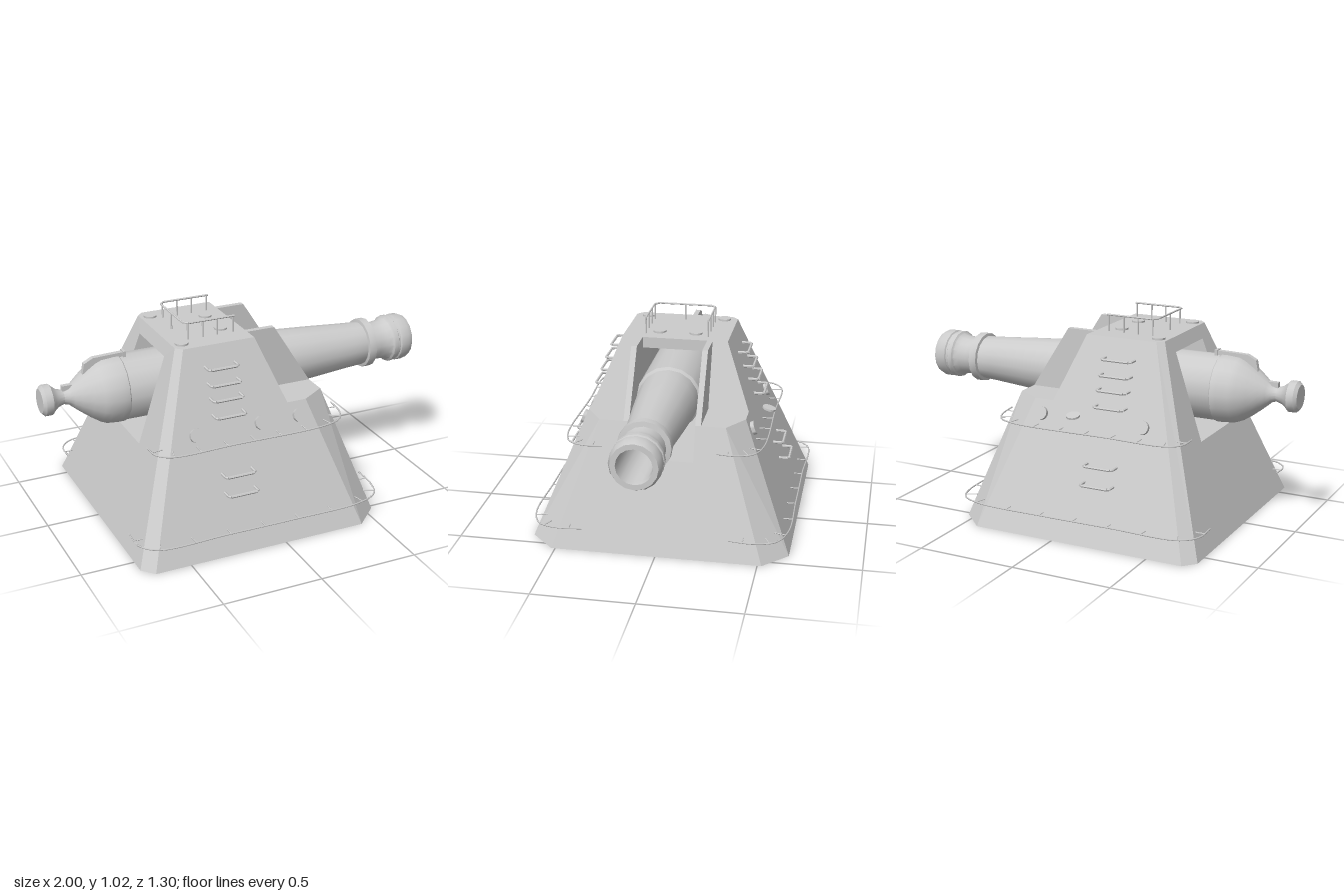
import * as THREE from 'three';
import { toCreasedNormals } from 'three/addons/utils/BufferGeometryUtils.js';

const mat = new THREE.MeshStandardMaterial({ color: 0xcccccc });
const flat = new THREE.MeshStandardMaterial({ color: 0xcccccc, flatShading: true, side: THREE.DoubleSide });
const V = (x, y, z) => new THREE.Vector3(x, y, z);

// Sloping planes of the casemate
const sideZ = y => 0.64 - 0.4 * y;
const rearX = y => -0.735 + 0.358 * y;
const frontX = y => 0.545 - 0.323 * y;
const TOP = 0.935, LEDGE = 0.62, FLOOR = 0.45, SLOT = 0.162;

function add(parent, name, geometry, material = mat) {
  const mesh = new THREE.Mesh(geometry, material);
  mesh.name = name;
  parent.add(mesh);
  return mesh;
}

// Round bar or disc between two points
function rod(parent, name, a, b, r, sides = 6) {
  const dir = b.clone().sub(a);
  const geo = toCreasedNormals(new THREE.CylinderGeometry(r, r, dir.length(), sides), 1.1);
  const mesh = add(parent, name, geo);
  mesh.position.copy(a).add(b).multiplyScalar(0.5);
  mesh.quaternion.setFromUnitVectors(V(0, 1, 0), dir.normalize());
  return mesh;
}

// Flat panels, each a fan of corners on the +z half, mirrored to the -z half
function mirroredPanels(parent, name, panels) {
  const pos = [];
  for (const s of [1, -1]) {
    for (const p of panels) {
      for (let i = 1; i < p.length - 1; i++) {
        const tri = s > 0 ? [p[0], p[i], p[i + 1]] : [p[0], p[i + 1], p[i]];
        tri.forEach(([x, y, z]) => pos.push(x, y, z * s));
      }
    }
  }
  const geo = new THREE.BufferGeometry();
  geo.setAttribute('position', new THREE.Float32BufferAttribute(pos, 3));
  geo.computeVertexNormals();
  add(parent, name, geo, flat);
}

function buildCasemate(parent) {
  const fx = frontX(LEDGE), lz = sideZ(LEDGE), tz = sideZ(TOP);
  const fl = frontX(FLOOR), rl = rearX(FLOOR), ru = rearX(0.87);
  mirroredPanels(parent, 'casemateShell', [
    // side wall
    [[0.12, LEDGE, lz], [0, TOP, tz], [-0.37, TOP, tz], [-0.68, 0, 0.64], [0.42, 0, 0.64], [0.22, LEDGE, lz]],
    // rear and front corner chamfers
    [[-0.735, 0, 0.58], [-0.68, 0, 0.64], [-0.37, TOP, tz], [-0.4, TOP, 0.236]],
    [[0.42, 0, 0.64], [0.545, 0, 0.52], [fx, LEDGE, 0.31], [0.22, LEDGE, lz]],
    // front wall beside and below the slot
    [[fl, FLOOR, SLOT], [fx, LEDGE, SLOT], [fx, LEDGE, 0.31], [0.545, 0, 0.52], [0.545, 0, 0], [fl, FLOOR, 0]],
    // ledge and upper front slope
    [[0.12, LEDGE, lz], [0.22, LEDGE, lz], [fx, LEDGE, 0.31], [fx, LEDGE, SLOT], [0.12, LEDGE, SLOT]],
    [[0, TOP, tz], [0.12, LEDGE, lz], [0.12, LEDGE, SLOT], [0, TOP, SLOT]],
    // roof
    [[-0.4, TOP, 0], [-0.4, TOP, 0.236], [-0.37, TOP, tz], [0, TOP, tz], [0, TOP, 0]],
    // rear wall around its opening
    [[rl, FLOOR, 0.185], [rl, FLOOR, 0], [-0.735, 0, 0], [-0.735, 0, 0.58], [-0.4, TOP, 0.236], [ru, 0.87, 0.16]],
    [[ru, 0.87, 0.16], [-0.4, TOP, 0.236], [-0.4, TOP, 0], [ru, 0.87, 0]],
  ]);
  mirroredPanels(parent, 'gunTunnel', [
    [[rl, FLOOR, 0], [rl, FLOOR, 0.185], [fl, FLOOR, SLOT], [fl, FLOOR, 0]],
    [[0.12, LEDGE, SLOT], [fx, LEDGE, SLOT], [fl, FLOOR, SLOT], [rl, FLOOR, 0.185],
      [ru, 0.87, 0.16], [0, 0.88, SLOT], [0, TOP, SLOT]],
    [[ru, 0.87, 0], [0, 0.88, 0], [0, 0.88, SLOT], [ru, 0.87, 0.16]],
    [[0, 0.88, SLOT], [0, 0.88, 0], [0, TOP, 0], [0, TOP, SLOT]],
  ]);

  // Cheek plates either side of the barrel
  const cheek = new THREE.Shape([[0, TOP], [0.12, LEDGE], [fx, LEDGE], [0.145, TOP]].map(p => new THREE.Vector2(...p)));
  for (const z of [SLOT, -SLOT - 0.028]) {
    add(parent, 'cheekPlate', new THREE.ExtrudeGeometry(cheek, { depth: 0.028, bevelEnabled: false }), flat).position.z = z;
  }
}

function buildCannon(parent) {
  const cannon = new THREE.Group();
  cannon.name = 'cannon';
  cannon.position.y = 0.68;
  parent.add(cannon);
  // Radius and station along the bore, from the knob to the muzzle and back inside
  const profile = [
    [0, -1], [0.06, -1], [0.076, -0.985], [0.076, -0.95], [0.06, -0.935], [0.045, -0.915], [0.035, -0.885],
    [0.042, -0.86], [0.06, -0.84], [0.085, -0.81], [0.12, -0.765], [0.15, -0.72], [0.163, -0.69], [0.168, -0.63],
    [0.168, -0.6], [0.163, -0.595], [0.163, 0.155], [0.15, 0.165], [0.147, 0.25], [0.133, 0.45], [0.117, 0.65],
    [0.112, 0.735], [0.127, 0.738], [0.127, 0.778], [0.103, 0.782], [0.098, 0.82], [0.102, 0.86], [0.112, 0.885],
    [0.122, 0.892], [0.122, 0.915], [0.115, 0.92], [0.115, 0.93], [0.122, 0.935], [0.122, 0.975], [0.11, 1],
    [0.085, 1], [0.08, 0.97], [0.08, 0.6], [0, 0.6],
  ].map(p => new THREE.Vector2(...p));
  const barrel = add(cannon, 'barrel', toCreasedNormals(new THREE.LatheGeometry(profile, 16), 0.6));
  barrel.rotation.z = -Math.PI / 2;

  // Sight rail on the breech with its rear lug
  const sight = new THREE.Shape([[-0.79, 0.08], [-0.57, 0.14], [-0.57, 0.183], [-0.73, 0.178], [-0.775, 0.155]]
    .map(p => new THREE.Vector2(...p)));
  add(cannon, 'breechSight', new THREE.ExtrudeGeometry(sight, { depth: 0.026, bevelEnabled: false }), flat).position.z = -0.013;
  add(cannon, 'sightLug', new THREE.BoxGeometry(0.015, 0.03, 0.04)).position.set(-0.572, 0.172, 0);
  add(cannon, 'neckLug', new THREE.BoxGeometry(0.05, 0.09, 0.025)).position.set(-0.865, 0.015, 0);
}

// Thin hand rail wrapping one side, held off the wall by short brackets
function buildSideRail(parent, points, s) {
  const curve = new THREE.CatmullRomCurve3(points.map(([x, y, z]) => V(x, y, z * s)), false, 'centripetal');
  add(parent, 'sideRail', new THREE.TubeGeometry(curve, 60, 0.004, 5));
  for (const t of [0.04, 0.14, 0.25, 0.36, 0.47, 0.58, 0.69, 0.8, 0.88, 0.96]) {
    const p = curve.getPointAt(t);
    const inward = V(0, 1, 0).cross(curve.getTangentAt(t)).multiplyScalar(s).setY(0).normalize();
    rod(parent, 'railBracket', p, p.clone().addScaledVector(inward, 0.058), 0.003, 5);
  }
}

function buildSideFittings(parent, s) {
  buildSideRail(parent, [[-0.735, 0.122, 0.44], [-0.73, 0.12, 0.56], [-0.66, 0.12, 0.632], [-0.3, 0.118, 0.635],
    [0.05, 0.116, 0.635], [0.4, 0.118, 0.63], [0.52, 0.12, 0.58], [0.557, 0.122, 0.48], [0.558, 0.128, 0.36]], s);
  buildSideRail(parent, [[-0.6, 0.512, 0.36], [-0.59, 0.508, 0.44], [-0.53, 0.506, 0.488], [-0.2, 0.505, 0.49],
    [0.28, 0.505, 0.487], [0.38, 0.507, 0.45], [0.42, 0.51, 0.37], [0.425, 0.516, 0.28]], s);

  // Ladder rungs
  for (const y of [0.28, 0.365, 0.628, 0.703, 0.77, 0.842]) {
    const z = sideZ(y), out = z + 0.05;
    const p = [[-0.275, z - 0.01], [-0.275, out - 0.01], [-0.265, out], [-0.13, out], [-0.12, out - 0.01], [-0.12, z - 0.01]];
    for (let i = 0; i < 5; i++) {
      rod(parent, 'ladderRung', V(p[i][0], y, p[i][1] * s), V(p[i + 1][0], y, p[i + 1][1] * s), 0.007);
    }
  }

  // Round port covers; the middle one on the far side is swung open
  const normal = V(0, 0.4, s).normalize();
  for (const x of [-0.375, -0.035, 0.17]) {
    const open = s < 0 && x === -0.035;
    const base = open ? V(x, 0.58, -0.475) : V(x, 0.555, sideZ(0.555) * s);
    const dir = open ? V(0, 1, -0.25).normalize() : normal;
    rod(parent, 'portCover', base, base.clone().addScaledVector(dir, open ? 0.01 : 0.018), 0.034, 14);
  }
}

function buildRoofFittings(parent) {
  for (const [x, z] of [[-0.35, 0.2], [-0.35, -0.2], [-0.1, 0.095], [-0.1, -0.09]]) {
    rod(parent, 'roofHatch', V(x, TOP - 0.005, z), V(x, TOP + 0.009, z), 0.033, 14);
  }
  // Guard rail, open towards the muzzle
  const h = 1.017, r = 0.005, zr = 0.158;
  const path = [[-0.055, -zr], [-0.295, -zr], [-0.318, -zr + 0.023], [-0.318, zr - 0.023], [-0.295, zr], [-0.055, zr]];
  for (let i = 0; i < 5; i++) {
    rod(parent, 'guardRail', V(path[i][0], h, path[i][1]), V(path[i + 1][0], h, path[i + 1][1]), r);
  }
  const posts = [[-0.318, 0]];
  for (const z of [zr, -zr]) for (const x of [-0.3, -0.222, -0.145, -0.062]) posts.push([x, z]);
  for (const [x, z] of posts) rod(parent, 'guardPost', V(x, TOP, z), V(x, h, z), r * 0.8);
}

export function createModel() {
  const model = new THREE.Group();
  model.name = 'gunCasemate';
  buildCasemate(model);
  buildCannon(model);
  for (const s of [1, -1]) buildSideFittings(model, s);
  buildRoofFittings(model);
  return model;
}
